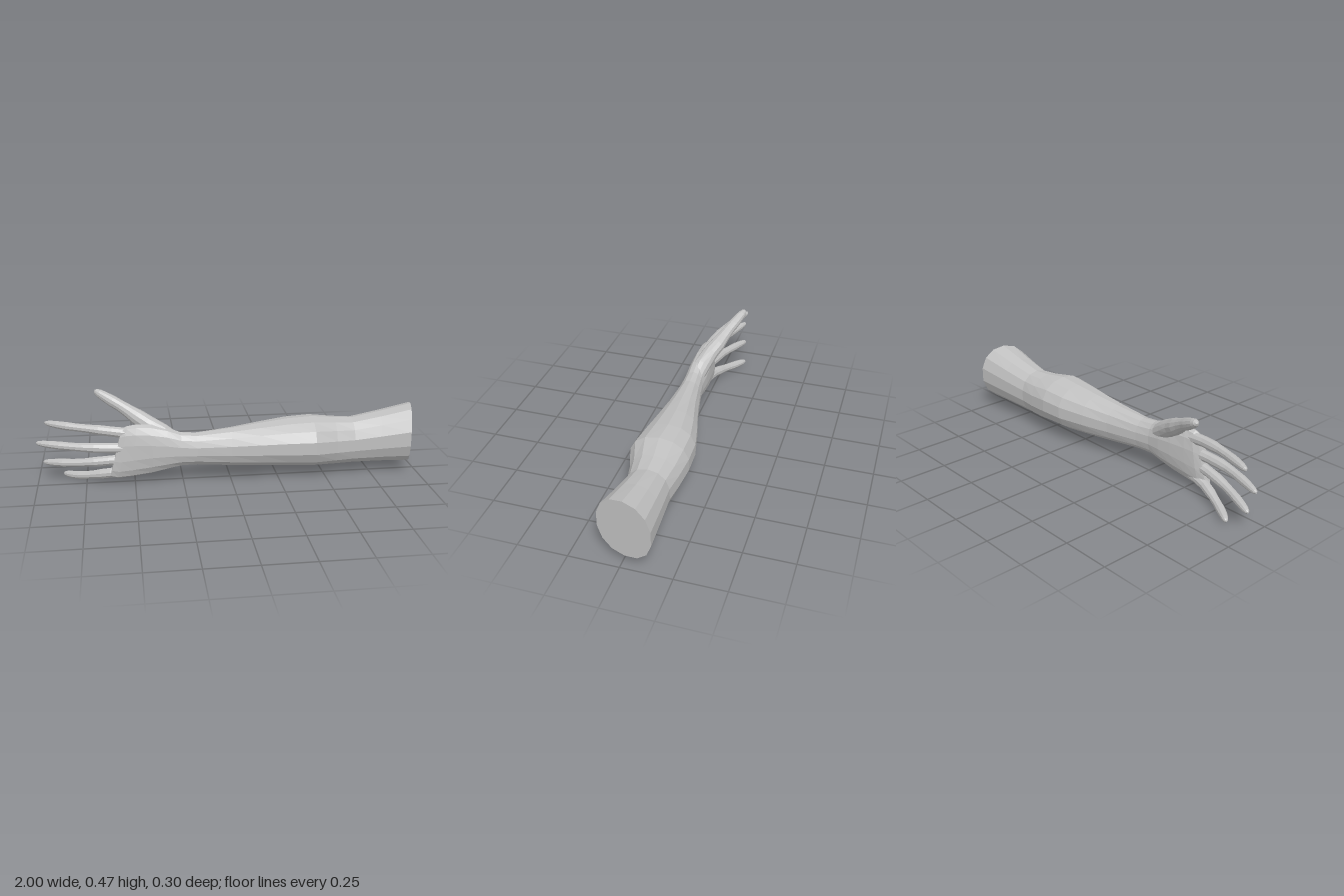
import * as THREE from 'three';

const skin = new THREE.MeshStandardMaterial({ color: 0xc0c0c0, flatShading: true });
skin.name = 'plain grey';

// Skin a list of equal-length rings, closing both ends
function loft(rings) {
  const n = rings[0].length, pos = [], idx = [];
  rings.forEach(r => r.forEach(p => pos.push(p.x, p.y, p.z)));
  for (let i = 0; i < rings.length - 1; i++) {
    for (let j = 0; j < n; j++) {
      const a = i * n + j, b = i * n + (j + 1) % n;
      idx.push(a, a + n, b, b, a + n, b + n);
    }
  }
  [[0, false], [rings.length - 1, true]].forEach(([i, flip]) => {
    const c = new THREE.Vector3();
    rings[i].forEach(p => c.addScaledVector(p, 1 / n));
    const k = pos.length / 3;
    pos.push(c.x, c.y, c.z);
    for (let j = 0; j < n; j++) {
      const a = i * n + j, b = i * n + (j + 1) % n;
      if (flip) idx.push(k, b, a); else idx.push(k, a, b);
    }
  });
  const g = new THREE.BufferGeometry();
  g.setAttribute('position', new THREE.Float32BufferAttribute(pos, 3));
  g.setIndex(idx);
  g.computeVertexNormals();
  return g;
}

const softPow = (v, e) => Math.sign(v) * Math.pow(Math.abs(v), e);

// Upright oval section given by its extents; x leans with z (leanZ) or y (leanY)
function section([x, y0, y1, z0, z1, leanZ = 0, leanY = 0, e = 0.92], sides = 14) {
  const yc = (y0 + y1) / 2, zc = (z0 + z1) / 2, ring = [];
  for (let j = 0; j < sides; j++) {
    const a = (j / sides) * Math.PI * 2;
    const dy = softPow(Math.cos(a), e) * (y1 - y0) / 2;
    const dz = softPow(Math.sin(a), e) * (z1 - z0) / 2;
    ring.push(new THREE.Vector3(x + leanZ * dz + leanY * dy, yc + dy, zc + dz));
  }
  return ring;
}

// Tapering digit along [x, y, z, radius] points, with slight joint swellings
const steps = [0, 0.15, 0.3, 0.42, 0.52, 0.64, 0.74, 0.85, 0.93, 0.98, 1];
const swell = [1, 1, 0.97, 1.06, 0.98, 0.96, 1.05, 1, 0.88, 0.62, 0.25];
function digit(points, sides = 10) {
  const curve = new THREE.CatmullRomCurve3(points.map(p => new THREE.Vector3(p[0], p[1], p[2])));
  const last = points.length - 1;
  return loft(steps.map((t, k) => {
    const c = curve.getPoint(t), T = curve.getTangent(t);
    const u = new THREE.Vector3(0, 1, 0).addScaledVector(T, -T.y).normalize();
    const v = new THREE.Vector3().crossVectors(u, T);
    const i = Math.min(Math.floor(t * last), last - 1);
    const r = THREE.MathUtils.lerp(points[i][3], points[i + 1][3], t * last - i) * swell[k];
    return Array.from({ length: sides }, (_, j) => {
      const a = (j / sides) * Math.PI * 2;
      return c.clone().addScaledVector(u, r * Math.cos(a)).addScaledVector(v, r * Math.sin(a));
    });
  }));
}

export function createModel() {
  const model = new THREE.Group();
  model.name = 'arm';
  const add = (name, geometry) => {
    const m = new THREE.Mesh(geometry, skin);
    m.name = name;
    model.add(m);
  };

  // Cut upper arm, elbow, forearm and wrist: x, y range, z range, lean
  const armSections = [
    [0.97, 0.053, 0.365, -0.155, 0.125, -0.22],
    [0.80, 0.055, 0.327, -0.14, 0.105, -0.1],
    [0.65, 0.053, 0.298, -0.126, 0.09],
    [0.55, 0.053, 0.305, -0.14, 0.11],
    [0.43, 0.06, 0.32, -0.153, 0.152],
    [0.30, 0.064, 0.312, -0.147, 0.138],
    [0.15, 0.072, 0.296, -0.112, 0.12],
    [0.00, 0.08, 0.28, -0.07, 0.103],
    [-0.18, 0.095, 0.266, -0.032, 0.09],
    [-0.26, 0.094, 0.274, -0.022, 0.088],
  ];
  // Palm, flattening towards the knuckles
  const palmSections = [
    [-0.26, 0.094, 0.274, -0.022, 0.088],
    [-0.33, 0.077, 0.302, -0.025, 0.087],
    [-0.41, 0.058, 0.322, -0.022, 0.083],
    [-0.50, 0.044, 0.325, -0.014, 0.074, 0, 0.1, 0.85],
    [-0.56, 0.037, 0.318, -0.006, 0.064, 0, 0.2, 0.8],
    [-0.595, 0.045, 0.305, 0.008, 0.054, 0, 0.26, 0.8],
  ];
  add('forearm', loft(armSections.map(s => section(s))));
  add('palm', loft(palmSections.map(s => section(s))));

  // Fingers, curling gently towards the back
  const fingers = {
    indexFinger: [[-0.46, 0.268, 0.032, 0.03], [-0.58, 0.284, 0.02, 0.029],
      [-0.72, 0.297, -0.012, 0.023], [-0.84, 0.304, -0.052, 0.021], [-0.952, 0.312, -0.1, 0.018]],
    middleFinger: [[-0.46, 0.2, 0.036, 0.03], [-0.6, 0.203, 0.032, 0.029],
      [-0.75, 0.206, 0.012, 0.024], [-0.88, 0.208, -0.03, 0.021], [-1.0, 0.21, -0.08, 0.018]],
    ringFinger: [[-0.47, 0.145, 0.036, 0.029], [-0.6, 0.137, 0.029, 0.028],
      [-0.75, 0.12, 0, 0.023], [-0.87, 0.108, -0.044, 0.021], [-0.97, 0.1, -0.09, 0.018]],
    littleFinger: [[-0.48, 0.085, 0.032, 0.028], [-0.6, 0.066, 0.018, 0.028],
      [-0.7, 0.045, -0.018, 0.023], [-0.79, 0.027, -0.062, 0.021], [-0.87, 0.022, -0.115, 0.018]],
  };
  for (const [name, points] of Object.entries(fingers)) add(name, digit(points));

  // Thumb with its fleshy base
  add('thumb', digit([[-0.27, 0.215, 0.03, 0.04], [-0.38, 0.285, 0.005, 0.05],
    [-0.47, 0.337, -0.038, 0.04], [-0.55, 0.387, -0.075, 0.032],
    [-0.62, 0.424, -0.108, 0.027], [-0.69, 0.462, -0.142, 0.024]], 12));

  return model;
}
